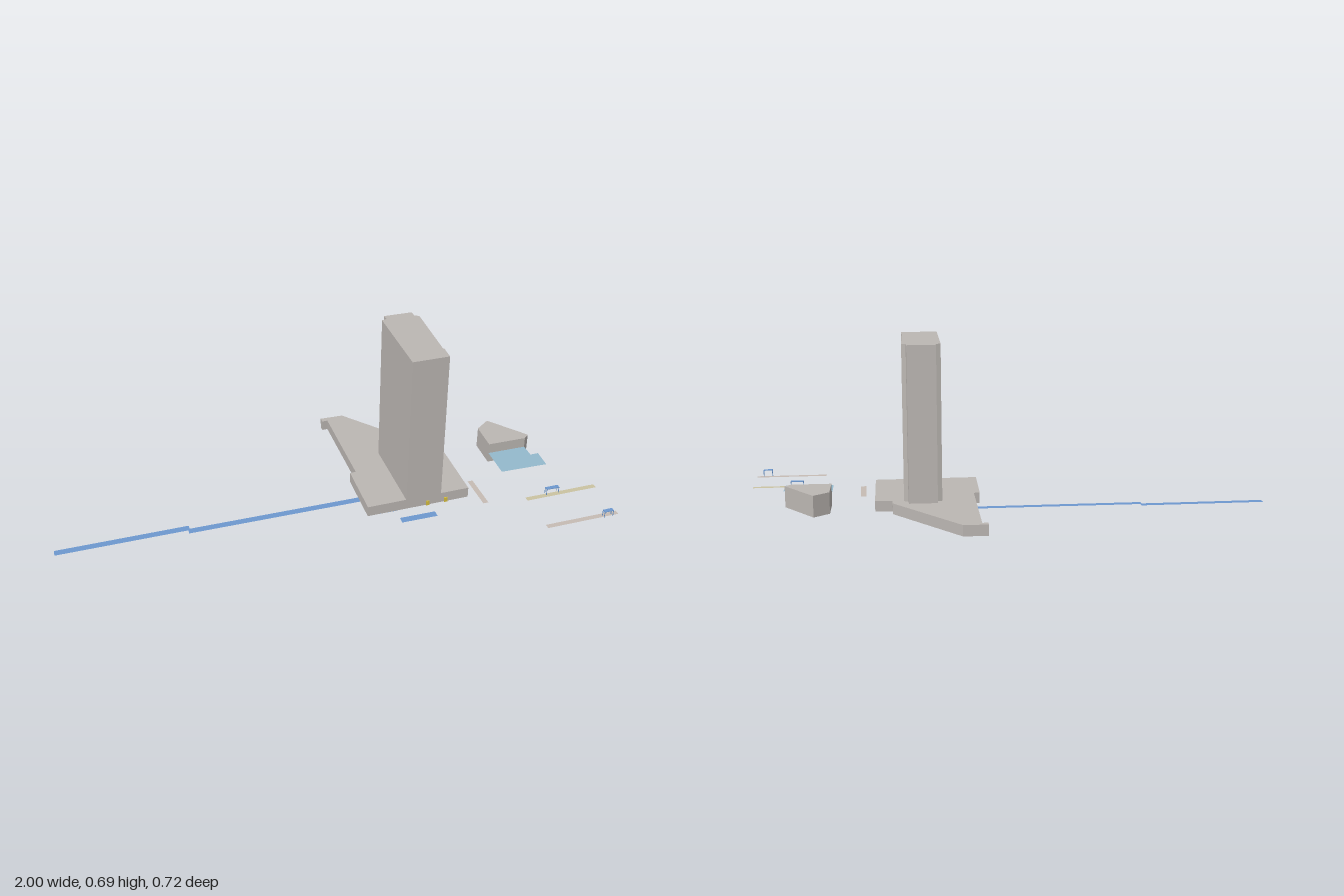
import * as THREE from 'three';

const flat = (name, color, double) => {
  const m = new THREE.MeshStandardMaterial({ color });
  m.name = name;
  if (double) m.side = THREE.DoubleSide;
  return m;
};

// Plan outline given as [x, z] corners
const plan = (pts) => new THREE.Shape(pts.map(([x, z]) => new THREE.Vector2(x, -z)));

export function createModel() {
  const group = new THREE.Group();
  const stone = flat('warm grey', 0xbcb7b3);
  const water = flat('canal blue', 0x6d98cf, true);
  const glass = flat('pale blue', 0x94b9cd, true);
  const paving = flat('paving', 0xc6bcb4, true);
  const sand = flat('sand', 0xcbc3a2, true);
  const yellow = flat('yellow', 0xd8c040);

  const add = (name, geo, mat) => {
    const mesh = new THREE.Mesh(geo, mat);
    mesh.name = name;
    group.add(mesh);
    return mesh;
  };
  const block = (name, pts, y0, y1, mat) => {
    const geo = new THREE.ExtrudeGeometry(plan(pts), { depth: y1 - y0, bevelEnabled: false });
    add(name, geo.rotateX(-Math.PI / 2).translate(0, y0, 0), mat);
  };
  const sheet = (name, pts, y, mat) =>
    add(name, new THREE.ShapeGeometry(plan(pts)).rotateX(-Math.PI / 2).translate(0, y, 0), mat);
  // Flat strip of a given width along a centre line
  const strip = (name, [x0, z0], [x1, z1], width, y, mat) => {
    const len = Math.hypot(x1 - x0, z1 - z0);
    const nx = (-(z1 - z0) / len) * width / 2, nz = ((x1 - x0) / len) * width / 2;
    sheet(name, [[x0 + nx, z0 + nz], [x1 + nx, z1 + nz], [x1 - nx, z1 - nz], [x0 - nx, z0 - nz]], y, mat);
  };

  // Podium and tower
  block('podium', [
    [-0.018, -0.348], [0.068, -0.364], [0.353, -0.144], [0.36, -0.112], [0.422, -0.123],
    [0.481, 0.157], [0.104, 0.24], [0.062, 0.03], [0.083, 0.022], [0.007, -0.332], [-0.013, -0.327],
  ], 0.075, 0.115, stone);
  block('tower', [
    [0.182, -0.091], [0.2, -0.1], [0.193, -0.122], [0.294, -0.142], [0.301, -0.117],
    [0.318, -0.112], [0.362, 0.128], [0.366, 0.128], [0.376, 0.182], [0.246, 0.21],
  ], 0.115, 0.685, stone);

  // Small side building with its raised terrace
  block('pavilion', [
    [0.578, -0.165], [0.624, -0.216], [0.76, -0.106], [0.744, -0.084], [0.599, -0.054],
  ], 0.075, 0.155, stone);
  sheet('terrace', [
    [0.599, -0.055], [0.744, -0.085], [0.756, -0.03], [0.787, -0.037], [0.8, 0.037], [0.624, 0.07],
  ], 0.115, glass);

  // Canal at the lower level and short pools beneath the podium
  strip('canal', [-0.997, 0.303], [-0.533, 0.203], 0.026, 0.037, water);
  strip('canal', [-0.535, 0.222], [0.15, 0.078], 0.026, 0.037, water);
  strip('upperPool', [0.15, 0.17], [0.215, 0.157], 0.026, 0.037, water);
  strip('lowerPool', [0.235, 0.18], [0.37, 0.152], 0.028, 0, water);

  // Platforms and walkway
  strip('nearPlatform', [0.728, 0.351], [0.998, 0.293], 0.019, 0.073, paving);
  strip('farPlatform', [0.692, 0.191], [0.962, 0.133], 0.019, 0.075, sand);
  strip('walkway', [0.508, 0.063], [0.54, 0.2], 0.02, 0.075, paving);

  // Shelters: thin roof on four slender posts
  for (const [x, z, len] of [[0.793, 0.16, 0.05], [0.958, 0.311, 0.036]]) {
    const shelter = new THREE.Group();
    shelter.name = 'shelter';
    const part = (name, w, h, d, px, py, pz) => {
      const mesh = new THREE.Mesh(new THREE.BoxGeometry(w, h, d), water);
      mesh.name = name;
      mesh.position.set(px, py, pz);
      shelter.add(mesh);
    };
    part('shelterRoof', len, 0.002, 0.015, 0, 0.0245, 0);
    for (const sx of [-1, 1]) for (const sz of [-1, 1])
      part('shelterPost', 0.002, 0.024, 0.002, sx * (len / 2 - 0.001), 0.012, sz * 0.0065);
    shelter.position.set(x, 0.074, z);
    shelter.rotation.y = 0.21;
    group.add(shelter);
  }

  // Entrance panels on the podium front
  for (const [x, z] of [[0.327, 0.1925], [0.396, 0.1775]]) {
    const door = add('entrancePanel', new THREE.BoxGeometry(0.012, 0.018, 0.006), yellow);
    door.position.set(x, 0.084, z);
    door.rotation.y = 0.21;
  }
  return group;
}
